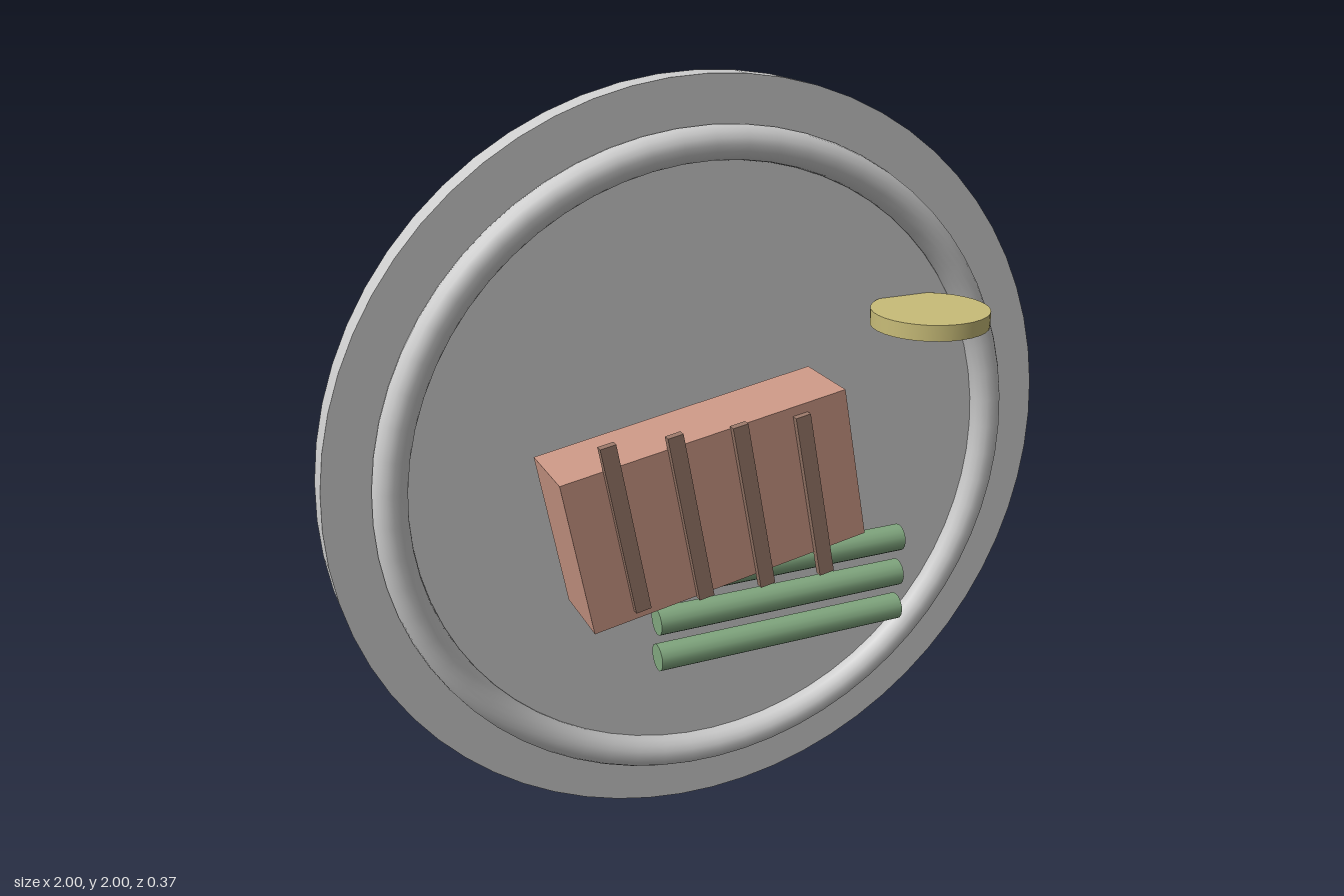
import * as THREE from 'three';

const material = (color) => new THREE.MeshStandardMaterial({ color });

export function createModel() {
  const model = new THREE.Group();
  const grey = material(0xcccccc);
  const meat = material(0xca9684);
  const char = material(0x987768);
  const green = material(0x80a67e);
  const yellow = material(0xc8bc78);

  const add = (name, geometry, mat, x, y, z, parent = model) => {
    const mesh = new THREE.Mesh(geometry, mat);
    mesh.name = name;
    mesh.position.set(x, y, z);
    parent.add(mesh);
    return mesh;
  };

  // Upright plate with a raised ring on its front
  add('plate', new THREE.CylinderGeometry(1, 1, 0.076, 64).rotateX(Math.PI / 2), grey, 0, 1, -0.148);
  add('plateRing', new THREE.TorusGeometry(0.84, 0.043, 16, 64), grey, 0, 1, -0.1);

  // Tilted block of food
  const tilt = THREE.MathUtils.degToRad(10);
  add('steak', new THREE.BoxGeometry(0.75, 0.406, 0.2), meat, -0.095, 1.003, 0.07).rotation.z = tilt;

  // Grill bars across its face, level with one another
  const grillMarks = new THREE.Group();
  grillMarks.name = 'grillMarks';
  model.add(grillMarks);
  const bar = new THREE.BoxGeometry(0.04, 0.445, 0.02);
  for (let i = 0; i < 4; i++) {
    add('grillMark', bar, char, -0.346 + i * 0.167, 1.003, 0.177, grillMarks).rotation.z = tilt;
  }

  // Three stalks lying side by side
  const stalks = new THREE.Group();
  stalks.name = 'stalks';
  model.add(stalks);
  const stalk = new THREE.CylinderGeometry(0.037, 0.037, 0.72, 16).rotateZ(Math.PI / 2);
  for (let i = 0; i < 3; i++) {
    add('stalk', stalk, green, 0.155, 0.747 - i * 0.106, 0.004, stalks);
  }

  // Flat round slice
  add('slice', new THREE.CylinderGeometry(0.155, 0.155, 0.042, 32), yellow, 0.562, 1.377, 0.026);

  return model;
}
